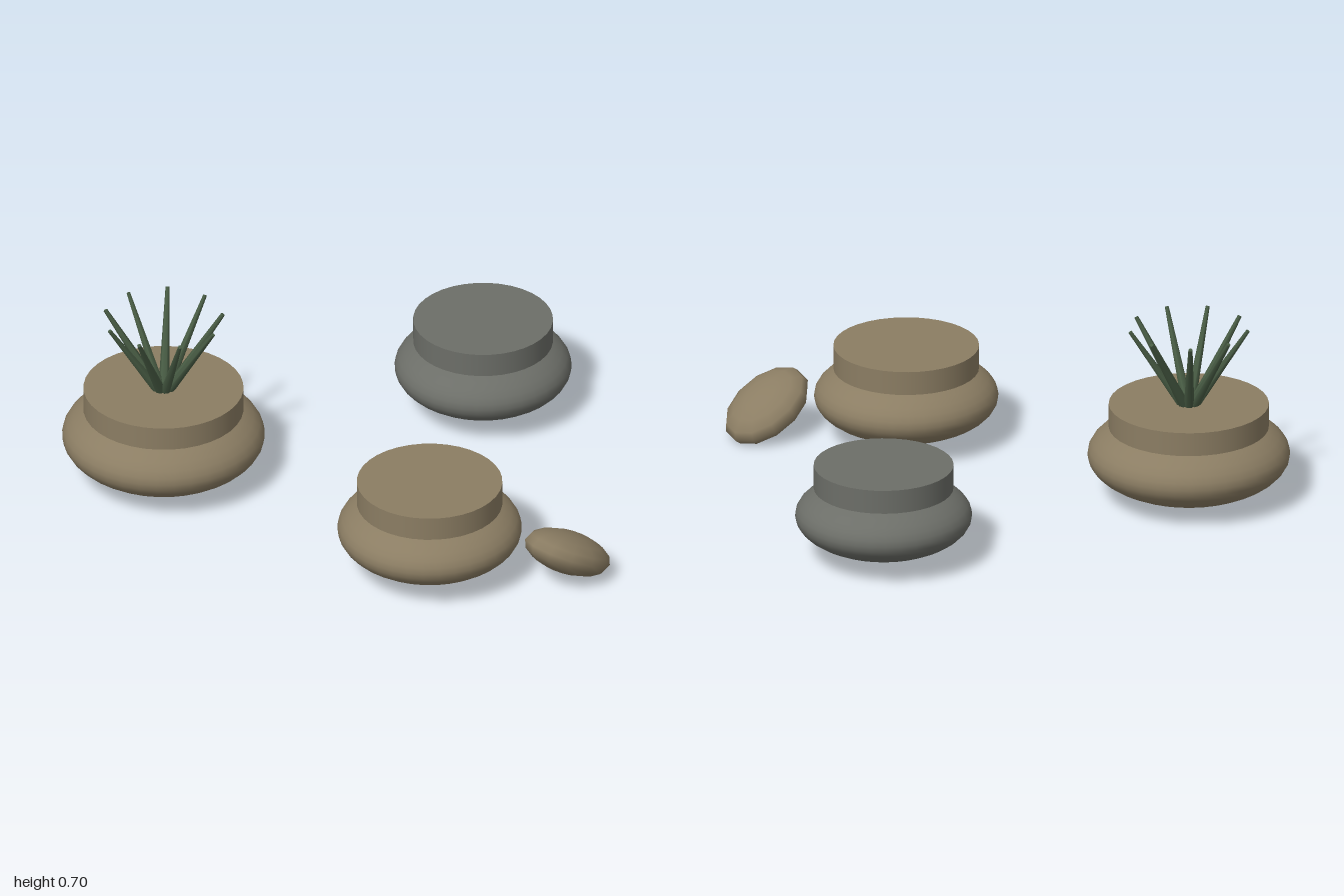
import * as THREE from 'three';

const material = (name, color) => {
  const m = new THREE.MeshStandardMaterial({ color });
  m.name = name;
  return m;
};

export function createModel() {
  const sand = material('sandstone', 0x8b7d63);
  const grey = material('grey stone', 0x6c6e68);
  const green = material('leaf green', 0x485c44);
  const model = new THREE.Group();
  model.name = 'stonesAndPlant';

  const add = (parent, name, geometry, mat) => {
    const mesh = new THREE.Mesh(geometry, mat);
    mesh.name = name;
    parent.add(mesh);
    return mesh;
  };

  // Flattened boulder with an overhanging flat disc on top
  const addStone = (name, x, z, r, mat) => {
    const stone = new THREE.Group();
    stone.name = name;
    stone.position.set(x, 0, z);
    const body = add(stone, 'boulder', new THREE.SphereGeometry(r, 36, 20), mat);
    body.scale.y = 0.42;
    body.position.y = 0.174;
    const cap = add(stone, 'flatTop', new THREE.CylinderGeometry(r * 0.79, r * 0.79, 0.094, 36), mat);
    cap.position.y = 0.332;
    model.add(stone);
    return stone;
  };

  const planted = addStone('plantedStone', -0.613, -0.22, 0.387, sand);
  addStone('frontStone', 0.324, 0.575, 0.352, sand);
  addStone('greyStone', 0.652, -0.595, 0.338, grey);

  // Tuft of nine tapered blades leaning outwards
  const blade = new THREE.CylinderGeometry(0.008, 0.022, 0.42, 6);
  blade.translate(0, 0.21, 0);
  blade.rotateZ(-0.575);
  const tuft = new THREE.Group();
  tuft.name = 'spikyPlant';
  tuft.position.y = 0.338;
  for (let i = 0; i < 9; i++) {
    add(tuft, 'blade', blade, green).rotation.y = (i / 9) * Math.PI * 2;
  }
  planted.add(tuft);

  // Small tilted pebble
  const pebble = add(model, 'pebble', new THREE.SphereGeometry(1, 12, 8), sand);
  pebble.scale.set(0.197, 0.079, 0.146);
  pebble.rotation.set(0, 0.6, -0.5, 'XYZ');
  pebble.position.set(0.838, 0.115, 0.715);

  return model;
}
